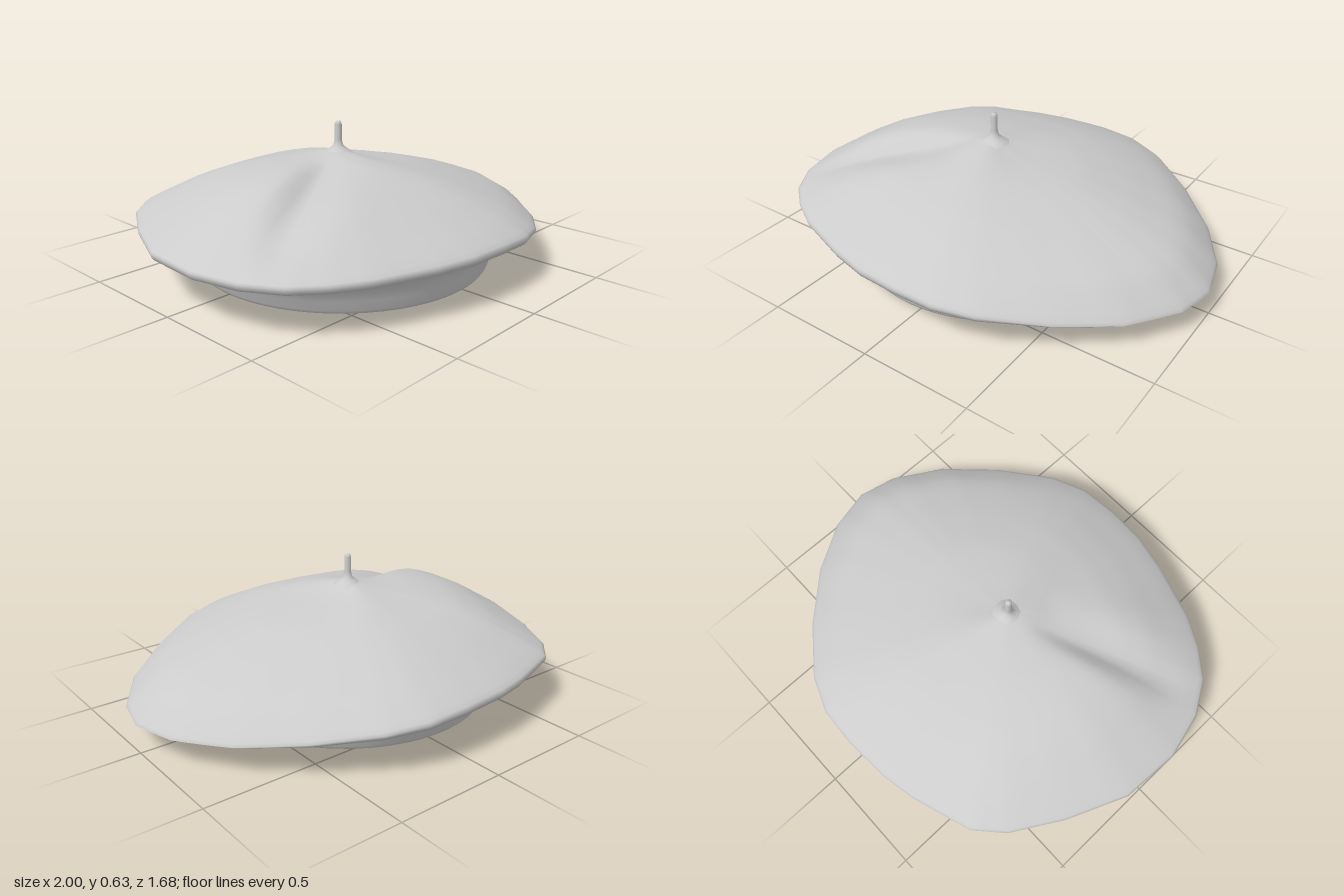
import * as THREE from 'three';

const APEX = { x: -0.08, z: 0.02 };
const SUB = 3; // subdivisions of each outline edge

// Rim outline seen from above, from +x round through +z
const OUTLINE = [
  [1, 0.02], [0.96, 0.2], [0.82, 0.42], [0.61, 0.61], [0.37, 0.77], [0.2, 0.83], [0.02, 0.84],
  [-0.17, 0.83], [-0.34, 0.79], [-0.6, 0.7], [-0.74, 0.62], [-0.86, 0.52], [-0.95, 0.37],
  [-1, 0.16], [-0.985, -0.11], [-0.87, -0.38], [-0.74, -0.6], [-0.62, -0.71], [-0.35, -0.8],
  [-0.2, -0.83], [0.02, -0.845], [0.21, -0.835], [0.38, -0.77], [0.6, -0.61], [0.81, -0.4], [0.95, -0.18],
];

// Crown heights from apex (0) to rim (1) in three directions
const SIDE = [[0, 0.51], [0.1, 0.495], [0.32, 0.455], [0.56, 0.4], [0.72, 0.35], [0.9, 0.28], [0.97, 0.25], [1, 0.225]];
const LEFT = [[0, 0.51], [0.06, 0.482], [0.14, 0.455], [0.42, 0.4], [0.63, 0.335], [0.83, 0.26], [0.93, 0.195], [1, 0.115]];
const RIGHT = [[0, 0.51], [0.13, 0.49], [0.35, 0.48], [0.46, 0.465], [0.57, 0.44], [0.7, 0.39], [0.85, 0.31], [0.97, 0.245], [1, 0.225]];

function sample(table, t) {
  const i = Math.max(1, table.findIndex((p) => p[0] >= t));
  const [a, b] = [table[i - 1], table[i]];
  return THREE.MathUtils.mapLinear(t, a[0], b[0], a[1], b[1]);
}

// Fold pressed into the crown, steep at the back and broad at the front
function fold(x, z) {
  const dx = -0.915, dz = 0.403;
  const u = ((x + 0.17) * dx + (z - 0.08) * dz) / 0.76;
  if (u <= 0 || u >= 1) return 0;
  const d = (x + 0.17) * dz - (z - 0.08) * dx;
  const width = d > 0 ? 0.14 : 0.06;
  return 0.06 * Math.pow(Math.sin(Math.PI * u), 0.8) * Math.exp(-((d / width) ** 2));
}

function crownHeight(t, c) {
  const w = c * c;
  return sample(SIDE, t) * (1 - w) + sample(c > 0 ? LEFT : RIGHT, t) * w;
}

// Underside: [fraction from band to rim, share of rim height above 0.1]
const UNDER = [[0.985, 0.87], [0.95, 0.77], [0.7, 0.68], [0.45, 0.52], [0.25, 0.36]];
// Band: [fraction towards rim, scale, height], rolling in to the opening
const BAND = [[0.14, 1, 0.105], [0.07, 1, 0.07], [0, 1, 0.025], [0, 0.985, 0.01], [0, 0.95, 0.002], [0, 0.9, 0], [0, 0.84, 0.008]];

function createCapGeometry() {
  const rim = [];
  OUTLINE.forEach((p, i) => {
    const q = OUTLINE[(i + 1) % OUTLINE.length];
    for (let k = 0; k < SUB; k++) {
      rim.push([p[0] + (q[0] - p[0]) * k / SUB, p[1] + (q[1] - p[1]) * k / SUB]);
    }
  });

  const n = rim.length;
  const positions = [];
  let rows = 0;
  const addRow = (fn) => {
    for (const [x, z] of rim) {
      const a = Math.atan2(z - APEX.z, x - APEX.x);
      positions.push(...fn(x, z, Math.cos(a), Math.sin(a)));
    }
    rows++;
  };

  // Crown
  const steps = [0.015, 0.06, 0.1];
  for (let t = 0.15; t < 0.94; t += 0.05) steps.push(t);
  steps.push(0.97, 0.99, 1);
  for (const t of steps) {
    addRow((rx, rz, c) => {
      const x = APEX.x + (rx - APEX.x) * t;
      const z = APEX.z + (rz - APEX.z) * t;
      return [x, crownHeight(t, c) - fold(x, z), z];
    });
  }

  // Underside and head band
  const bandPoint = (c, s, scale) => [-0.06 + 0.665 * c * scale, 0.02 + 0.665 * s * scale];
  for (const [f, w] of UNDER) {
    addRow((rx, rz, c, s) => {
      const [bx, bz] = bandPoint(c, s, 1);
      return [bx + (rx - bx) * f, 0.1 + (crownHeight(1, c) - 0.1) * w, bz + (rz - bz) * f];
    });
  }
  for (const [f, scale, y] of BAND) {
    addRow((rx, rz, c, s) => {
      const [bx, bz] = bandPoint(c, s, scale);
      return [bx + (rx - bx) * f, y, bz + (rz - bz) * f];
    });
  }

  const index = [];
  for (let i = 0; i < rows - 1; i++) {
    for (let j = 0; j < n; j++) {
      const k = (j + 1) % n;
      const a = i * n + j, b = i * n + k, c = a + n, d = b + n;
      index.push(a, b, c, b, d, c);
    }
  }
  const geometry = new THREE.BufferGeometry();
  geometry.setAttribute('position', new THREE.Float32BufferAttribute(positions, 3));
  geometry.setIndex(index);
  geometry.computeVertexNormals();
  return geometry;
}

export function createModel() {
  const group = new THREE.Group();
  group.name = 'beret';
  const material = new THREE.MeshStandardMaterial({ color: 0xcccccc, side: THREE.DoubleSide });

  const cap = new THREE.Mesh(createCapGeometry(), material);
  cap.name = 'cap';
  group.add(cap);

  // Little stalk with a flared foot
  const profile = [[0.07, 0.49], [0.04, 0.51], [0.022, 0.525], [0.016, 0.55], [0.016, 0.618], [0.012, 0.631], [0, 0.635]];
  const stalk = new THREE.Mesh(
    new THREE.LatheGeometry(profile.map(([r, y]) => new THREE.Vector2(r, y)), 10), material);
  stalk.name = 'stalk';
  stalk.position.set(APEX.x, 0, APEX.z);
  group.add(stalk);
  return group;
}
